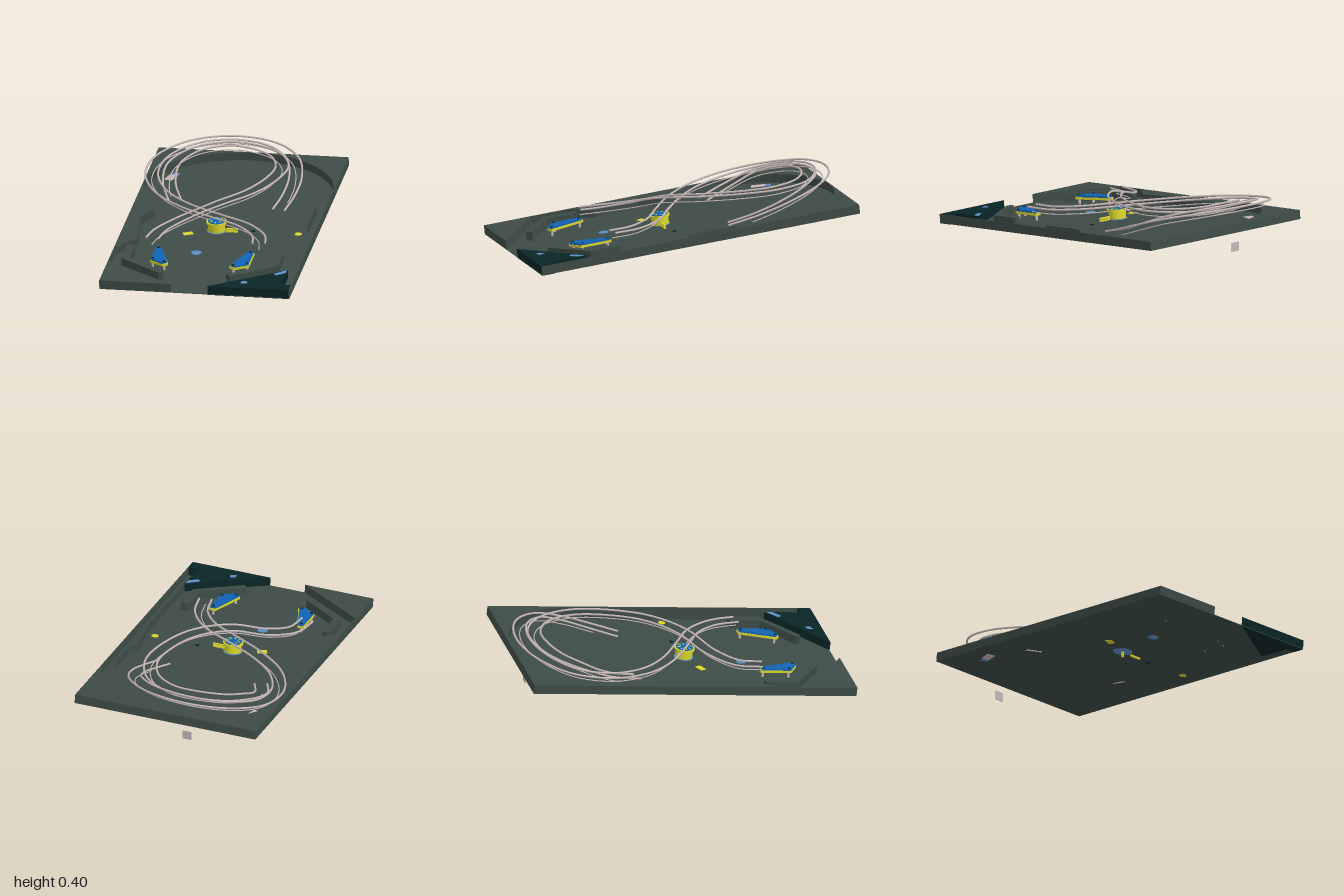
import * as THREE from 'three';

const mat = (name, color, side = THREE.FrontSide) => {
  const m = new THREE.MeshStandardMaterial({ color, side });
  m.name = name;
  return m;
};

export function createModel() {
  const green = mat('dark green', 0x3d4b46);
  const teal = mat('deep teal', 0x0a2526);
  const blue = mat('blue', 0x1162b4);
  const yellow = mat('yellow', 0xd9d52a);
  const pale = mat('pale blue', 0x5d8dc6);
  const steel = mat('pinkish steel', 0xc6b6b6);

  const model = new THREE.Group();
  model.name = 'pinballTable';
  const tilt = 0.122, H = 0.055, CX = -0.03;
  const table = new THREE.Group();
  table.name = 'tiltedTable';
  table.rotation.x = tilt;
  table.position.y = Math.sin(tilt);
  model.add(table);

  const add = (parent, name, geo, material, x = 0, y = 0, z = 0) => {
    const m = new THREE.Mesh(geo, material);
    m.name = name;
    m.position.set(x, y, z);
    parent.add(m);
    return m;
  };
  // Slab from a plan outline of [x, z] points, rising from y0 to y1
  const slab = (name, pts, y0, y1, material) => {
    const shape = new THREE.Shape(pts.map(([x, z]) => new THREE.Vector2(x, -z)));
    const geo = new THREE.ExtrudeGeometry(shape, { depth: y1 - y0, bevelEnabled: false });
    geo.rotateX(-Math.PI / 2);
    return add(table, name, geo, material, 0, y0, 0);
  };

  // Floor and outer walls
  add(table, 'floor', new THREE.BoxGeometry(1.15, 0.004, 2), green, 0, 0.002, 0);
  for (const s of [-1, 1])
    add(table, 'sideWall', new THREE.BoxGeometry(0.004, H, 2), green, s * 0.574, H / 2, 0);

  // Raised surround: rounded back, jagged left side, sloping front
  const arc = [];
  for (let i = 0; i <= 24; i++) {
    const a = Math.PI * i / 24;
    arc.push([0.575 * Math.cos(a), -0.46 - 0.535 * Math.sin(a)]);
  }
  slab('backSurround', [...arc, [-0.575, -1], [0.575, -1]], 0, H, green);
  slab('leftSurround', [[-0.575, 0.5], [-0.46, 0.345], [-0.5, 0.05], [-0.435, -0.1], [-0.575, -0.47]], 0, H, green);
  slab('frontLeftSurround', [[-0.14, 1], [-0.575, 0.7], [-0.575, 1]], 0, H, green);
  slab('frontRightSurround', [[0.08, 1], [0.515, 0.7], [0.515, 0.92], [0.575, 0.92], [0.575, 1]], -0.002, H, teal);

  // Launch lane divider
  const divider = add(table, 'laneDivider', new THREE.PlaneGeometry(1.39, H), green, 0.515, H / 2, 0.225);
  divider.rotation.y = -Math.PI / 2;
  slab('dividerWedge', [[0.515, -0.25], [0.475, -0.18], [0.515, 0.06]], 0, H, green);

  // Mirrored guides and slingshots
  for (const s of [-1, 1]) {
    const side = (pts) => pts.map(([u, z]) => [CX + s * u, z]);
    slab('laneGuide', side([[0.425, 0.46], [0.435, 0.45], [0.465, 0.45], [0.475, 0.46], [0.475, 0.65],
      [0.215, 0.84], [0.19, 0.81], [0.425, 0.64]]), 0, H, green);
    const outline = [[0.3, 0.465], [0.262, 0.465], [0.185, 0.685], [0.215, 0.705], [0.3, 0.655]];
    const inset = outline.map(([u, z]) => [0.258 + (u - 0.258) * 0.9, 0.59 + (z - 0.59) * 0.95]);
    slab('slingshotBand', side(outline), 0.036, 0.05, yellow);
    slab('slingshotTop', side(inset), 0.05, 0.06, blue);
    for (const [u, z] of [[0.28, 0.485], [0.286, 0.642], [0.21, 0.68]]) {
      add(table, 'slingshotPost', new THREE.CylinderGeometry(0.008, 0.008, 0.036, 8), steel, CX + s * u, 0.018, z);
      add(table, 'slingshotScrew', new THREE.CylinderGeometry(0.009, 0.009, 0.004, 8), teal, CX + s * u, 0.061, z);
    }
  }

  // Centre bumper
  const bumper = new THREE.Group();
  bumper.name = 'bumper';
  bumper.position.set(-0.033, 0, 0.065);
  table.add(bumper);
  const disc = (name, r, y0, y1, material, n = 16) =>
    add(bumper, name, new THREE.CylinderGeometry(r, r, y1 - y0, n), material, 0, (y0 + y1) / 2, 0);
  disc('bumperBase', 0.058, -0.002, 0.008, pale);
  disc('bumperBody', 0.052, 0.008, 0.055, yellow);
  disc('bumperCap', 0.062, 0.055, 0.067, yellow);
  disc('bumperTop', 0.052, 0.067, 0.071, blue);
  for (let i = 0; i < 8; i++) {
    const ray = add(bumper, 'bumperRay', new THREE.BoxGeometry(0.02, 0.002, 0.006), yellow,
      0.036 * Math.cos(i * Math.PI / 4), 0.0715, 0.036 * Math.sin(i * Math.PI / 4));
    ray.rotation.y = -i * Math.PI / 4;
  }
  disc('bumperStem', 0.009, -0.035, 0, yellow, 8);
  for (const y of [-0.01, 0.006, 0.022])
    add(bumper, 'bumperArm', new THREE.BoxGeometry(0.075, 0.011, 0.012), yellow, 0.092, y, 0.01);

  // Flat floor markers
  const dot = (name, r, x, z, material, n) =>
    add(table, name, new THREE.CylinderGeometry(r, r, 0.009, n), material, x, 0.002, z);
  dot('yellowMarker', 0.023, 0.46, 0.055, yellow, 8);
  dot('blueMarker', 0.031, -0.095, 0.405, pale, 12);
  dot('darkMarker', 0.014, 0.185, 0.045, teal, 8);
  const plate = (name, w, d, x, y, z, turn, material) => {
    add(table, name, new THREE.BoxGeometry(w, 0.009, d), material, x, y, z).rotation.y = turn;
  };
  plate('yellowTarget', 0.06, 0.04, -0.195, 0.002, 0.13, 0.45, yellow);
  plate('steelTarget', 0.05, 0.085, -0.445, 0.002, -0.68, -0.3, steel);
  plate('paleTarget', 0.04, 0.035, -0.422, 0.002, -0.735, -0.3, pale);
  slab('cornerPatch', [[0.44, 0.77], [0.51, 0.71], [0.51, 0.75], [0.46, 0.79]], H, H + 0.002, pale);
  slab('frontPatch', [[0.27, 0.91], [0.3, 0.895], [0.31, 0.93], [0.27, 0.94]], H, H + 0.002, pale);

  // Loose plate beneath the back
  add(model, 'rearPlate', new THREE.BoxGeometry(0.055, 0.055, 0.005), steel, -0.12, 0.138, -0.935);

  // Wire ramps: two side rails and a thin lower rail along each centre path
  const ramp = (name, pts) => {
    const group = new THREE.Group();
    group.name = name;
    model.add(group);
    const path = new THREE.CatmullRomCurve3(pts.map((p) => new THREE.Vector3(...p)));
    for (const [off, drop, r] of [[-0.038, 0, 0.0065], [0.038, 0, 0.0065], [0, 0.038, 0.0035]]) {
      const rail = [];
      for (let i = 0; i <= 60; i++) {
        const t = path.getTangentAt(i / 60).setY(0).normalize();
        const p = path.getPointAt(i / 60);
        rail.push(new THREE.Vector3(p.x - t.z * off, p.y - drop, p.z + t.x * off));
      }
      add(group, drop ? 'lowerRail' : 'sideRail',
        new THREE.TubeGeometry(new THREE.CatmullRomCurve3(rail), 140, r, 6), steel);
    }
  };
  ramp('innerRamp', [[-0.355, 0.17, 0.47], [-0.325, 0.185, 0.32], [-0.21, 0.225, 0.18], [-0.03, 0.285, 0.06],
    [0.14, 0.318, -0.12], [0.235, 0.34, -0.36], [0.25, 0.355, -0.56], [0.17, 0.37, -0.74], [0.02, 0.38, -0.84],
    [-0.13, 0.383, -0.855], [-0.31, 0.36, -0.79], [-0.42, 0.31, -0.64], [-0.42, 0.24, -0.48], [-0.35, 0.175, -0.3]]);
  ramp('outerRamp', [[0.295, 0.17, 0.47], [0.265, 0.18, 0.32], [0.15, 0.195, 0.17], [-0.03, 0.207, 0.06],
    [-0.25, 0.222, -0.08], [-0.43, 0.247, -0.26], [-0.53, 0.285, -0.5], [-0.5, 0.33, -0.73], [-0.34, 0.375, -0.89],
    [-0.11, 0.395, -0.945], [0.13, 0.385, -0.89], [0.28, 0.345, -0.75], [0.327, 0.28, -0.58], [0.315, 0.215, -0.41],
    [0.28, 0.165, -0.26]]);
  return model;
}
